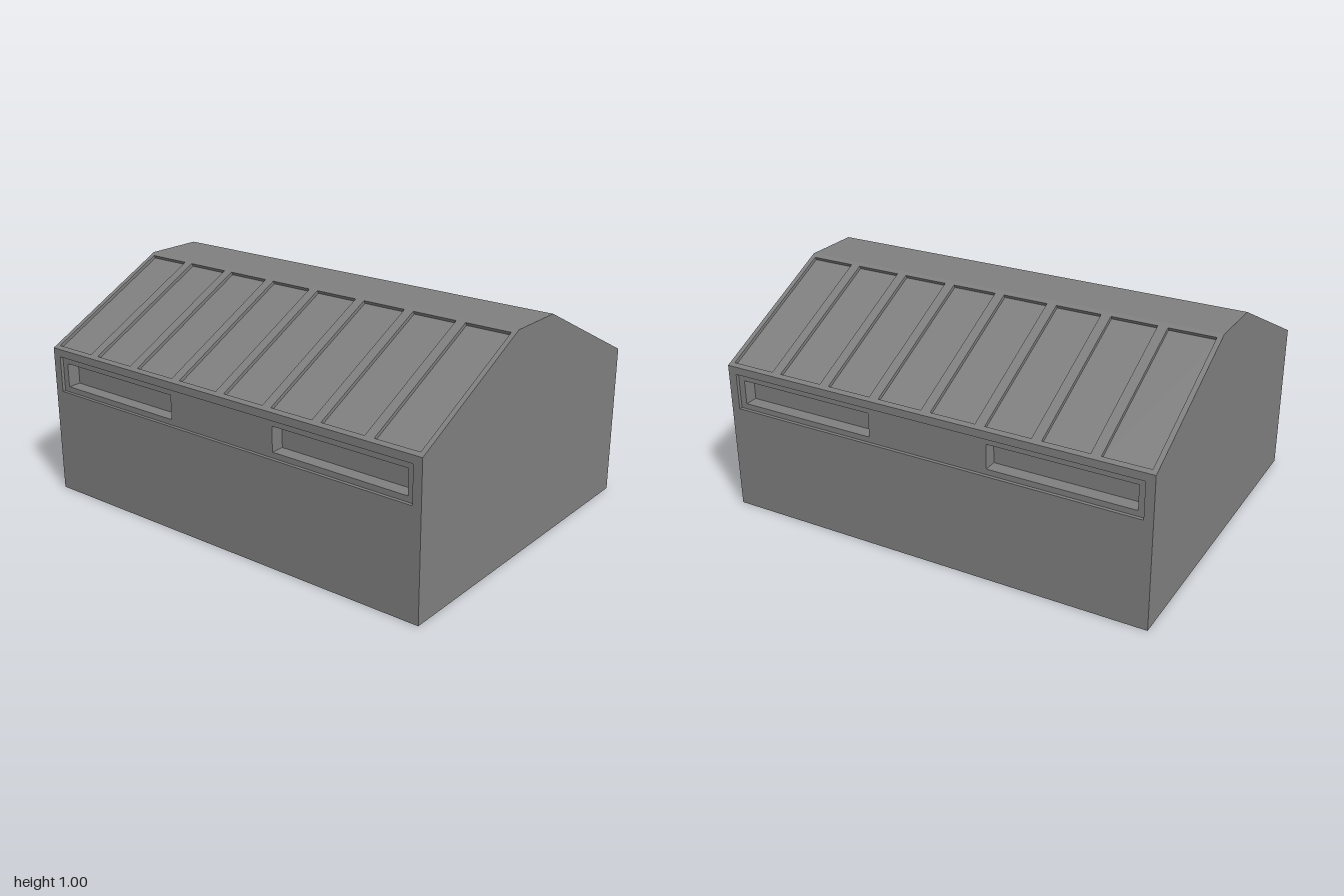
import * as THREE from 'three';

const HALF_W = 1, HALF_D = 0.775, EAVE = 0.685, TOP = 1, RIDGE = 0.135;

const rectPoints = ([x0, y0, x1, y1]) => [
  new THREE.Vector2(x0, y0), new THREE.Vector2(x1, y0),
  new THREE.Vector2(x1, y1), new THREE.Vector2(x0, y1),
];

// Inward-facing walls of a recess running from z down to z - depth
function recessWalls(rect, z, depth) {
  const p = rectPoints(rect), pos = [];
  for (let i = 0; i < 4; i++) {
    const a = p[i], b = p[(i + 1) % 4], d = z - depth;
    pos.push(a.x, a.y, z, b.x, b.y, d, a.x, a.y, d);
    pos.push(a.x, a.y, z, b.x, b.y, z, b.x, b.y, d);
  }
  // Corner order is reversed so that the walls face the middle of the recess
  for (let i = 0; i < pos.length; i += 9) {
    for (let k = 0; k < 3; k++) [pos[i + 3 + k], pos[i + 6 + k]] = [pos[i + 6 + k], pos[i + 3 + k]];
  }
  const g = new THREE.BufferGeometry();
  g.setAttribute('position', new THREE.Float32BufferAttribute(pos, 3));
  g.computeVertexNormals();
  return g;
}

export function createModel() {
  const model = new THREE.Group();
  model.name = 'building';
  const grey = new THREE.MeshStandardMaterial({ color: 0x808080, side: THREE.DoubleSide });
  grey.name = 'grey';

  const add = (parent, name, geometry) => {
    const mesh = new THREE.Mesh(geometry, grey);
    mesh.name = name;
    parent.add(mesh);
    return mesh;
  };

  // Flat face with recesses, each of which may hold further recesses
  function addFace(parent, name, rect, z, recesses = []) {
    const shape = new THREE.Shape(rectPoints(rect));
    for (const r of recesses) shape.holes.push(new THREE.Path(rectPoints(r.rect).reverse()));
    add(parent, name, new THREE.ShapeGeometry(shape).translate(0, 0, z));
    for (const r of recesses) {
      add(parent, r.name + 'Sides', recessWalls(r.rect, z, r.depth));
      addFace(parent, r.name, r.rect, z - r.depth, r.recesses);
    }
  }

  // Window band with two deep openings
  const windows = [[-0.93, 0.51, -0.28, 0.62], [0.28, 0.51, 0.93, 0.62]]
    .map((rect) => ({ name: 'windowOpening', rect, depth: 0.06 }));
  const band = { name: 'windowBand', rect: [-0.96, 0.485, 0.96, 0.65], depth: 0.015, recesses: windows };

  // Row of eight sunken roof panels
  const run = HALF_D - RIDGE, rise = TOP - EAVE, slope = Math.hypot(run, rise);
  const panels = [];
  for (let i = 0; i < 8; i++) {
    const x = -0.875 + i * 0.25;
    panels.push({ name: 'roofPanel', rect: [x - 0.103, 0.022, x + 0.103, slope - 0.022], depth: 0.015 });
  }

  // Long wall and roof slope, the same on front and back
  for (const [name, angle] of [['front', 0], ['back', Math.PI]]) {
    const side = new THREE.Group();
    side.name = name + 'Side';
    side.rotation.y = angle;
    addFace(side, 'longWall', [-HALF_W, 0, HALF_W, EAVE], HALF_D, [band]);

    const roof = new THREE.Group();
    roof.name = 'roofSlope';
    roof.position.set(0, EAVE, HALF_D);
    roof.rotation.x = -Math.atan2(run, rise);
    addFace(roof, 'roofFrame', [-HALF_W, 0, HALF_W, slope], 0, panels);
    side.add(roof);
    model.add(side);
  }

  // Gable end walls
  const gable = new THREE.Shape([
    [-HALF_D, 0], [HALF_D, 0], [HALF_D, EAVE], [RIDGE, TOP], [-RIDGE, TOP], [-HALF_D, EAVE],
  ].map(([x, y]) => new THREE.Vector2(x, y)));
  for (const s of [-1, 1]) {
    const end = add(model, s > 0 ? 'leftGable' : 'rightGable', new THREE.ShapeGeometry(gable));
    end.position.x = s * HALF_W;
    end.rotation.y = s * Math.PI / 2;
  }

  // Flat ridge and underside
  add(model, 'flatRidge', new THREE.PlaneGeometry(2 * HALF_W, 2 * RIDGE).rotateX(-Math.PI / 2).translate(0, TOP, 0));
  add(model, 'underside', new THREE.PlaneGeometry(2 * HALF_W, 2 * HALF_D).rotateX(Math.PI / 2));

  return model;
}
